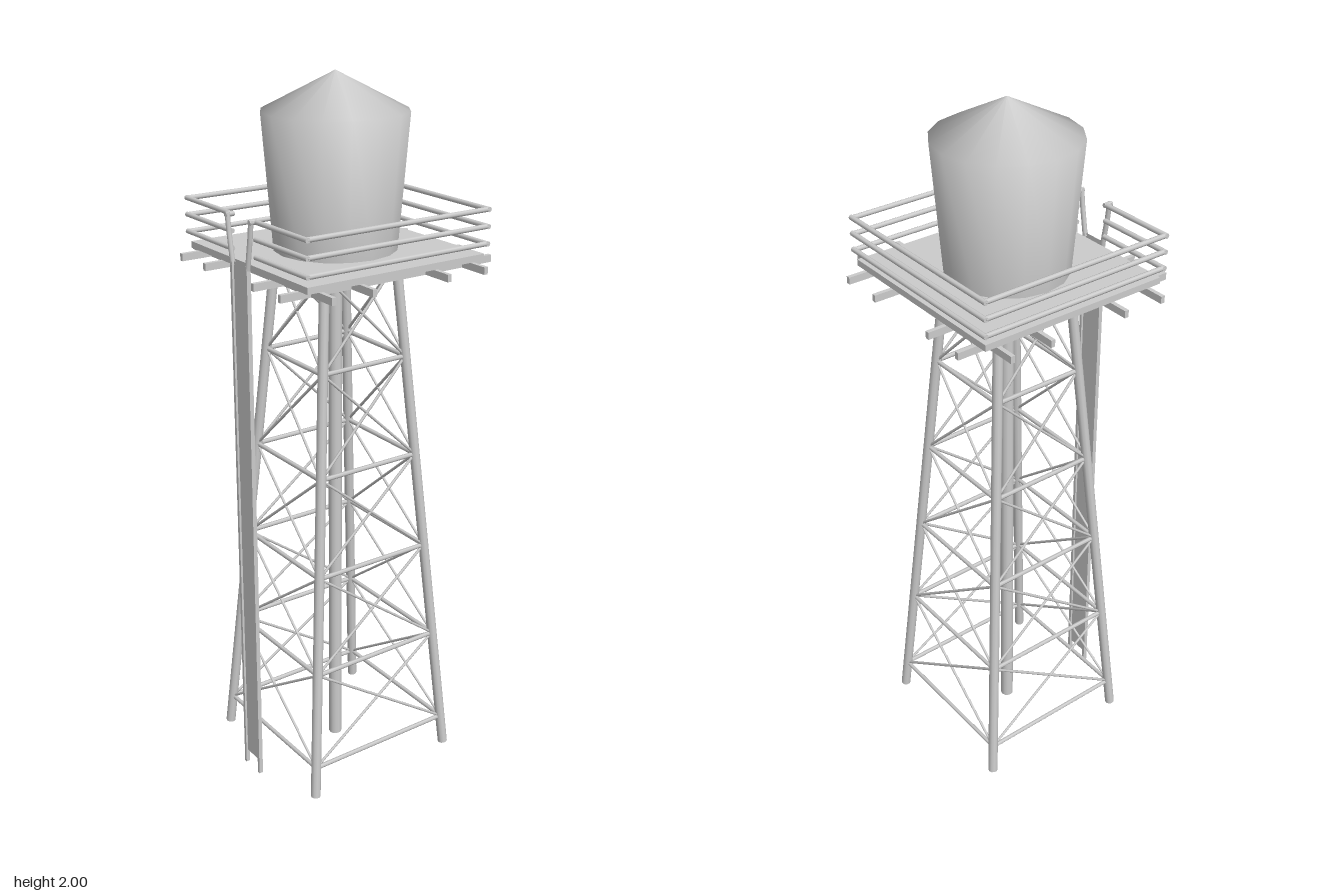
import * as THREE from 'three';

const material = new THREE.MeshStandardMaterial({ color: 0xcccccc });
const sheetMaterial = new THREE.MeshStandardMaterial({ color: 0xcccccc, side: THREE.DoubleSide });
const V = (x, y, z) => new THREE.Vector3(x, y, z);
const UP = V(0, 1, 0);

function add(parent, name, geometry, x = 0, y = 0, z = 0, mat = material) {
  const mesh = new THREE.Mesh(geometry, mat);
  mesh.name = name;
  mesh.position.set(x, y, z);
  parent.add(mesh);
  return mesh;
}

// Round bar between two points
function bar(parent, name, a, b, radius, sides = 8) {
  const dir = b.clone().sub(a);
  const mid = a.clone().add(b).multiplyScalar(0.5);
  const mesh = add(parent, name, new THREE.CylinderGeometry(radius, radius, dir.length(), sides), mid.x, mid.y, mid.z);
  mesh.quaternion.setFromUnitVectors(UP, dir.normalize());
  return mesh;
}

function group(parent, name) {
  const g = new THREE.Group();
  g.name = name;
  parent.add(g);
  return g;
}

const LEG_BOTTOM = 0.01, LEG_TOP = 1.51;
const legOffset = (y) => THREE.MathUtils.mapLinear(y, LEG_BOTTOM, LEG_TOP, 0.235, 0.116);

export function createModel() {
  const model = new THREE.Group();
  model.name = 'waterTower';

  // Tank: tapered wall and conical roof
  const profile = [[0, 1.535], [0.167, 1.535], [0.196, 1.9], [0, 2]].map(([r, y]) => new THREE.Vector2(r, y));
  add(model, 'tankBottom', new THREE.LatheGeometry(profile.slice(0, 2), 16));
  add(model, 'tank', new THREE.LatheGeometry(profile.slice(1), 16));

  // Deck and the joists beneath it, in both directions
  const platform = group(model, 'platform');
  add(platform, 'deck', new THREE.BoxGeometry(0.56, 0.018, 0.56), 0, 1.53, 0);
  for (const p of [-0.24, -0.118, 0.118, 0.24]) {
    add(platform, 'joist', new THREE.BoxGeometry(0.012, 0.02, 0.67), p, 1.511, 0);
    add(platform, 'joist', new THREE.BoxGeometry(0.67, 0.02, 0.012), 0, 1.511, p);
  }

  // Three rails on every side, open at the ladder
  const railing = group(model, 'railing');
  const R = 0.284, GAP = 0.055;
  for (const y of [1.566, 1.612, 1.657]) {
    bar(railing, 'backRail', V(-R - 0.006, y, -R), V(R + 0.006, y, -R), 0.007);
    for (const s of [-1, 1]) {
      bar(railing, 'sideRail', V(s * R, y, -R), V(s * R, y, R), 0.007);
      bar(railing, 'frontRail', V(s * GAP, y, R), V(s * (R + 0.006), y, R), 0.007);
    }
  }

  // Legs and the central pipe
  const tower = group(model, 'tower');
  for (const sx of [-1, 1]) for (const sz of [-1, 1]) {
    const b = legOffset(LEG_BOTTOM), t = legOffset(LEG_TOP);
    bar(tower, 'leg', V(sx * b, LEG_BOTTOM, sz * b), V(sx * t, LEG_TOP, sz * t), 0.014, 10);
  }
  bar(tower, 'centralPipe', V(0, LEG_BOTTOM, 0), V(0, 1.53, 0), 0.019, 12);

  // Horizontal struts and crossed braces, repeated on the four faces
  const levels = [0.1, 0.387, 0.675, 0.957, 1.245, 1.505];
  for (let face = 0; face < 4; face++) {
    const side = group(tower, 'bracing');
    side.rotation.y = face * Math.PI / 2;
    for (let i = 0; i < levels.length - 1; i++) {
      const y = levels[i], y2 = levels[i + 1];
      const a = legOffset(y), b = legOffset(y2);
      bar(side, 'strut', V(-a, y, a), V(a, y, a), 0.0065, 6);
      for (const s of [-1, 1]) bar(side, 'crossBrace', V(-s * a, y, a), V(s * b, y2, b), 0.004, 6);
    }
  }

  // Ladder: thin sheet between stringers that flare into handrails
  const ladder = group(model, 'ladder');
  const Z = 0.297;
  add(ladder, 'ladderSheet', new THREE.PlaneGeometry(0.066, 1.5), 0, 0.79, Z, sheetMaterial);
  for (const s of [-1, 1]) {
    add(ladder, 'stringer', new THREE.BoxGeometry(0.009, 1.54, 0.012), s * 0.036, 0.77, Z);
    bar(ladder, 'handrailFlare', V(s * 0.036, 1.53, Z), V(s * 0.05, 1.61, Z), 0.007);
    bar(ladder, 'handrailPost', V(s * 0.05, 1.608, Z), V(s * 0.057, 1.662, Z), 0.007);
    bar(ladder, 'handrailReturn', V(s * 0.057, 1.657, Z + 0.006), V(s * 0.057, 1.657, R - 0.006), 0.007);
  }

  return model;
}
